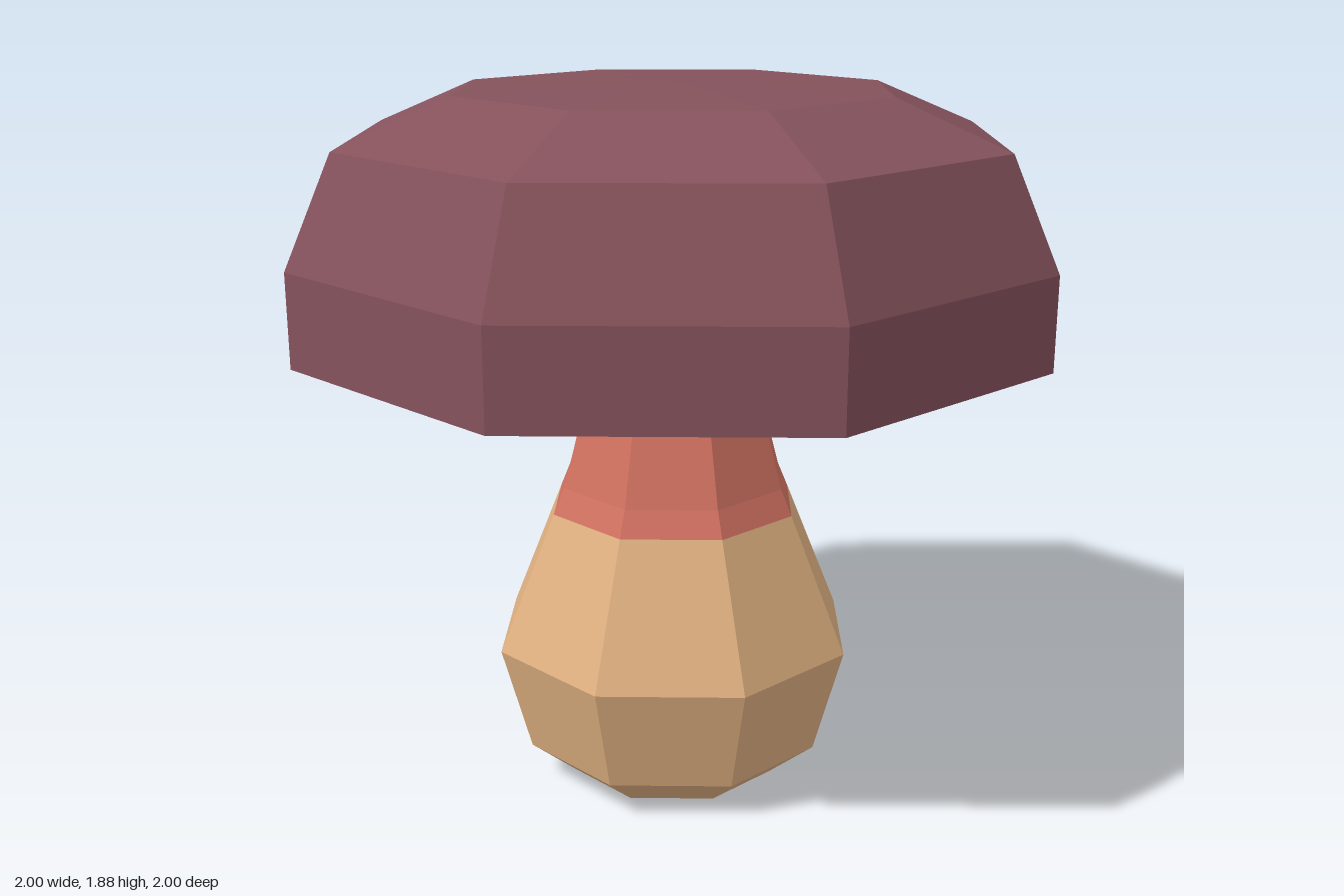
import * as THREE from 'three';

const flat = (name, color) => {
  const m = new THREE.MeshStandardMaterial({ color, flatShading: true });
  m.name = name;
  return m;
};

// Eight-sided turned part from [radius, height] pairs, listed so that faces point outward
function turned(name, profile, material) {
  const points = profile.map(([r, y]) => new THREE.Vector2(r, y));
  const geometry = new THREE.LatheGeometry(points, 8).toNonIndexed();
  geometry.computeVertexNormals();
  const mesh = new THREE.Mesh(geometry, material);
  mesh.name = name;
  return mesh;
}

export function createModel() {
  const plum = flat('plum', 0x85525c);
  const coral = flat('coral', 0xd27261);
  const tan = flat('tan', 0xe0b181);

  const mushroom = new THREE.Group();
  mushroom.name = 'mushroom';
  mushroom.add(
    // Bulbous foot, closed underneath
    turned('stemBase', [[0, 0], [0.29, 0], [0.415, 0.1], [0.495, 0.39], [0.34, 0.76]], tan),
    // Tapering neck that runs up into the cap
    turned('stemNeck', [[0.34, 0.76], [0.31, 0.83], [0.205, 1.22], [0.16, 1.4]], coral),
    // Hollow underside of the cap
    turned('capUnderside', [[0, 1.38], [0.22, 1.37], [0.78, 1.29], [1, 1.22]], coral),
    // Broad faceted cap
    turned('cap', [[1, 1.22], [1, 1.46], [0.875, 1.74], [0.58, 1.86], [0.22, 1.875], [0, 1.877]], plum),
  );
  return mushroom;
}
